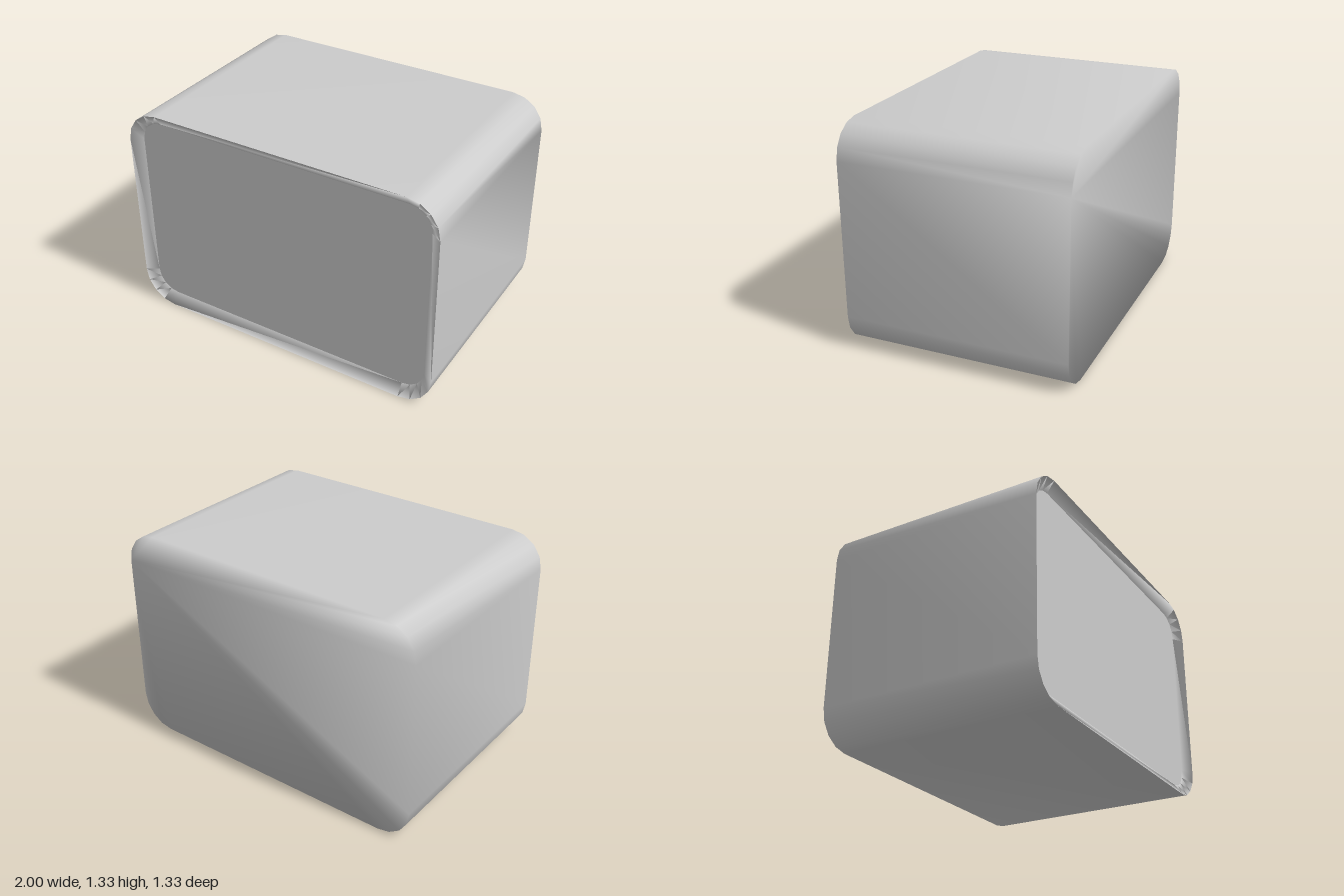
import * as THREE from 'three';

const W = 1, H = 1.333, D = 0.667;   // half width, height, half depth
const R = 0.2, RIM = 0.067, RECESS = 0.045, SEG = 4;

// Rounded rectangle outline, counter-clockwise from the upper +x corner.
function outline(inset, z) {
  const pts = [];
  const corners = [[W - R, H - R], [R - W, H - R], [R - W, R], [W - R, R]];
  corners.forEach(([cx, cy], c) => {
    for (let i = 0; i <= SEG; i++) {
      const a = (c + i / SEG) * Math.PI / 2;
      pts.push([cx + (R - inset) * Math.cos(a), cy + (R - inset) * Math.sin(a), z]);
    }
  });
  return pts;
}

// Smooth skin through consecutive rings, optionally closing the first one at the back.
function skin(rings, closeBack) {
  const n = rings[0].length, index = [];
  for (let r = 0; r < rings.length - 1; r++) {
    for (let i = 0; i < n; i++) {
      const a = r * n + i, b = r * n + (i + 1) % n;
      index.push(a, b, b + n, a, b + n, a + n);
    }
  }
  if (closeBack) for (let i = 1; i < n - 1; i++) index.push(0, i + 1, i);
  const g = new THREE.BufferGeometry();
  g.setAttribute('position', new THREE.Float32BufferAttribute(rings.flat(2), 3));
  g.setIndex(index);
  g.computeVertexNormals();
  return g;
}

export function createModel() {
  const group = new THREE.Group();
  const material = new THREE.MeshStandardMaterial({ color: 0xcccccc });

  // Casing: flat back, straight walls and a rim sloping in to the screen
  const inner = outline(RIM, D - RECESS);
  const casing = new THREE.Mesh(skin([outline(0, -D), outline(0, D), inner], true), material);
  casing.name = 'casing';

  // Flat recessed screen
  const shape = new THREE.Shape(inner.map(([x, y]) => new THREE.Vector2(x, y)));
  const screen = new THREE.Mesh(new THREE.ShapeGeometry(shape), material);
  screen.position.z = D - RECESS;
  screen.name = 'screen';

  group.add(casing, screen);
  return group;
}
